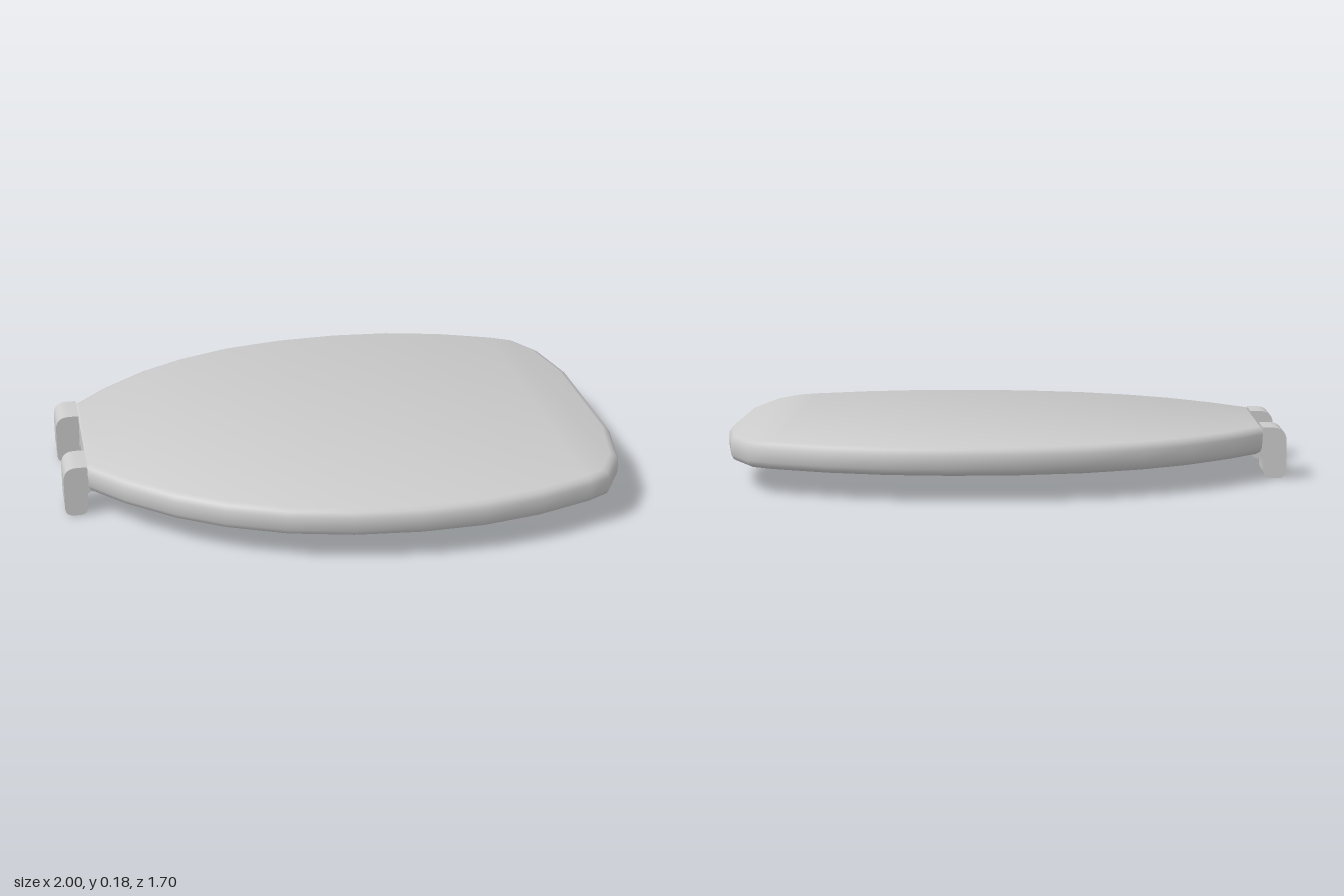
import * as THREE from 'three';
import { toCreasedNormals } from 'three/addons/utils/BufferGeometryUtils.js';

const HINGE_X = -0.915;
// Half of the outline as [x, z], from the hinge end to the blunt end
const HALF = [
  [HINGE_X, 0.305], [-0.8, 0.447], [-0.64, 0.592], [-0.48, 0.695], [-0.28, 0.782],
  [-0.06, 0.832], [0.17, 0.85], [0.39, 0.837], [0.6, 0.79], [0.8, 0.713],
  [0.88, 0.664], [0.955, 0.525], [1, 0.28],
];
// Rim profile as [inset, y, slope of the normal in degrees]:
// top edge, outer side, lip underneath, inner wall, edge of the hollow's ceiling
const RIM = [
  [0.03, 0.183, 72], [0.01, 0.175, 45], [0, 0.158, 15],
  [0, 0.112, -15], [0.008, 0.096, -45], [0.024, 0.088, -80],
  [0.042, 0.09, -110], [0.052, 0.104, -160], [0.054, 0.146, -160], [0.066, 0.166, -112],
];

// Hollow plate with a softly rolled rim, spanned crosswise between mirrored outline points
function plateGeometry() {
  const loop = [...HALF, ...HALF.map(([x, z]) => [x, -z]).reverse()];
  const n = loop.length, rings = RIM.length, last = rings - 1;
  const pos = [], nor = [], idx = [];

  loop.forEach(([x, z], i) => {
    const p = loop[Math.max(i - 1, 0)], q = loop[Math.min(i + 1, n - 1)];
    const out = new THREE.Vector2(-(q[1] - p[1]), q[0] - p[0]).normalize();
    const end = i === 0 || i === n - 1;
    for (const [inset, y, deg] of RIM) {
      const a = THREE.MathUtils.degToRad(deg);
      // the hinge end is straight outside and only its inner wall steps in
      const px = end ? x + Math.max(0, inset - 0.024) * 1.3 : x - out.x * inset;
      pos.push(px, y, z - (end ? Math.sign(z) : out.y) * inset);
      nor.push(out.x * Math.cos(a), Math.sin(a), out.y * Math.cos(a));
    }
  });
  const at = (i, j) => i * rings + j;
  const quad = (a, b, c, d) => idx.push(a, b, c, b, d, c);

  // rim
  for (let i = 0; i < n - 1; i++) {
    for (let j = 0; j < last; j++) {
      quad(at(i, j), at(i, j + 1), at(i + 1, j), at(i + 1, j + 1));
    }
  }
  // top face and ceiling of the hollow
  for (let i = 0; i < HALF.length - 1; i++) {
    const m = n - 1 - i;
    quad(at(i, 0), at(i + 1, 0), at(m, 0), at(m - 1, 0));
    quad(at(i, last), at(m, last), at(i + 1, last), at(m - 1, last));
  }
  // straight wall at the hinge end: outer face, lip and inner face
  for (let j = 0; j < last; j++) {
    const base = pos.length / 3;
    const corners = [at(0, j), at(n - 1, j), at(0, j + 1), at(n - 1, j + 1)];
    const dx = pos[corners[2] * 3] - pos[corners[0] * 3];
    const dy = pos[corners[2] * 3 + 1] - pos[corners[0] * 3 + 1];
    const len = Math.hypot(dx, dy);
    for (const c of corners) {
      pos.push(...pos.slice(c * 3, c * 3 + 3));
      nor.push(dy / len, -dx / len, 0);
    }
    quad(base, base + 1, base + 2, base + 3);
  }

  const g = new THREE.BufferGeometry();
  g.setAttribute('position', new THREE.Float32BufferAttribute(pos, 3));
  g.setAttribute('normal', new THREE.Float32BufferAttribute(nor, 3));
  g.setIndex(idx);
  return g;
}

// Hook-shaped hinge tab: a short arm that turns down into a rounded leg
function tabGeometry(width) {
  const s = new THREE.Shape();
  s.moveTo(HINGE_X, 0.183);
  s.lineTo(-0.95, 0.183);
  s.quadraticCurveTo(-1, 0.183, -1, 0.133);
  s.lineTo(-1, 0.032);
  s.quadraticCurveTo(-1, 0, -0.968, 0);
  s.lineTo(-0.95, 0);
  s.quadraticCurveTo(-0.918, 0, -0.918, 0.032);
  s.lineTo(-0.918, 0.07);
  s.quadraticCurveTo(-0.918, 0.088, -0.9, 0.088);
  s.lineTo(HINGE_X + 0.03, 0.088);
  s.lineTo(HINGE_X + 0.03, 0.15);
  s.lineTo(HINGE_X, 0.15);
  s.closePath();
  const g = new THREE.ExtrudeGeometry(s, { depth: width, bevelEnabled: false, curveSegments: 6 });
  g.translate(0, 0, -width / 2);
  return toCreasedNormals(g, 0.6);
}

export function createModel() {
  const group = new THREE.Group();
  group.name = 'lid';
  const material = new THREE.MeshStandardMaterial({ color: 0xcccccc });

  const plate = new THREE.Mesh(plateGeometry(), material);
  plate.name = 'lidPlate';
  group.add(plate);

  const tab = tabGeometry(0.15);
  for (const side of [1, -1]) {
    const mesh = new THREE.Mesh(tab, material);
    mesh.name = side > 0 ? 'frontHingeTab' : 'backHingeTab';
    mesh.position.z = side * 0.232;
    group.add(mesh);
  }
  return group;
}
